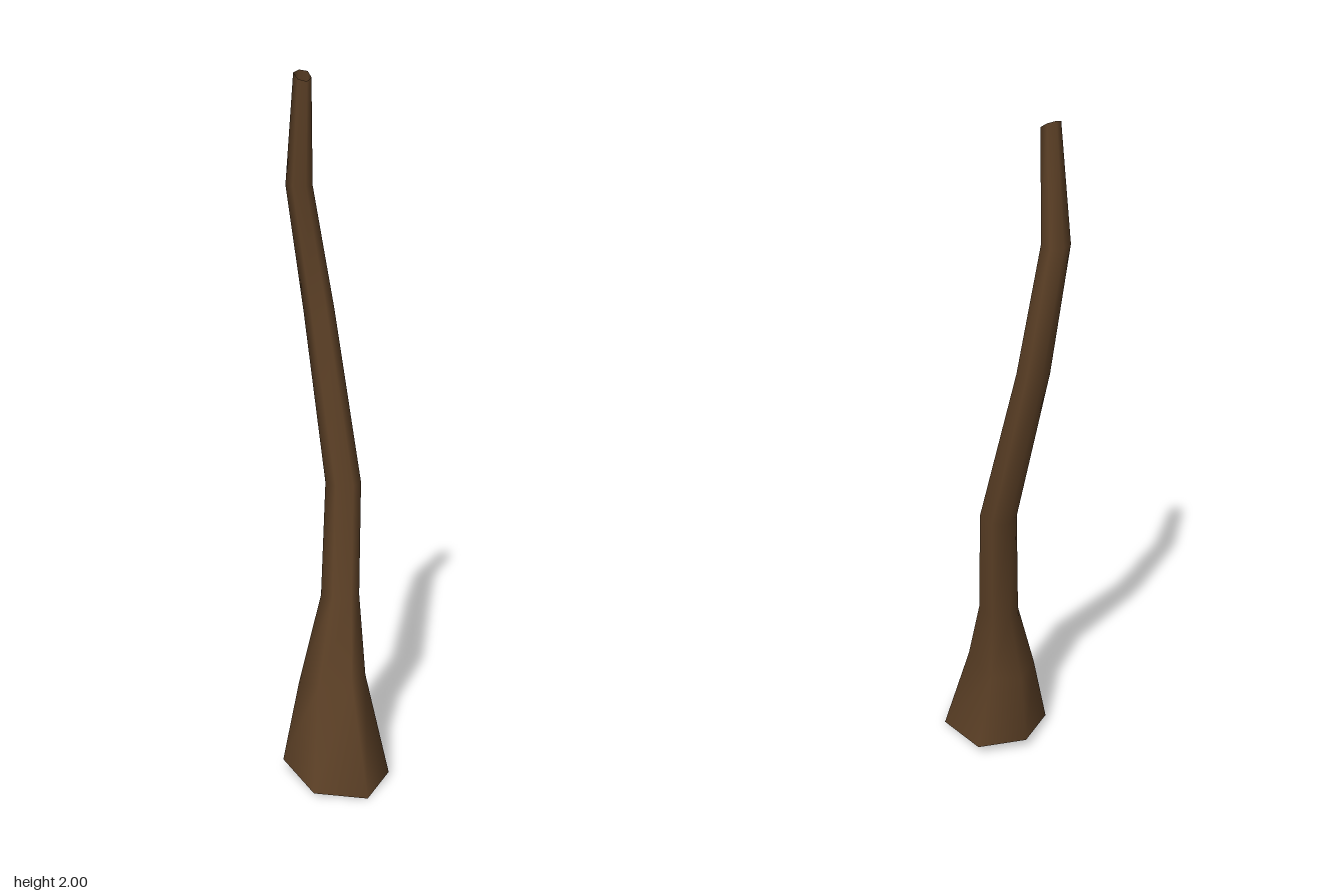
import * as THREE from 'three';

export function createModel() {
  const group = new THREE.Group();
  const bark = new THREE.MeshStandardMaterial({ color: 0x5c4026, side: THREE.DoubleSide });
  bark.name = 'dark bark';

  // Irregular six-sided outline, in half widths, counterclockwise from the front
  const outline = [[0.2, 1], [1, 0.37], [0.93, -0.7], [-0.08, -1], [-1, -0.52], [-0.81, 0.6]];

  // Rings up the bent trunk: centre x, y, z, half width x, half depth z, tilt along x, tilt along z
  const rings = [
    [0.0, 0.018, 0.087, 0.136, 0.173, 0, -0.1],
    [0.005, 0.28, 0.037, 0.085, 0.108, 0.1, 0.22],
    [0.053, 0.51, -0.029, 0.049, 0.062, 0, 0.15],
    [0.076, 0.84, -0.067, 0.046, 0.053, 0, 0.1],
    [0.051, 1.325, -0.203, 0.041, 0.04, 0, 0.1],
    [0.0, 1.68, -0.225, 0.035, 0.036, 0, 0],
    [0.002, 1.985, -0.2, 0.023, 0.024, 0, -0.6],
  ];

  const positions = [];
  const index = [];
  const n = outline.length;
  rings.forEach(([cx, cy, cz, hx, hz, tx, tz], i) => {
    outline.forEach(([u, v], j) => {
      const dx = u * hx, dz = v * hz;
      positions.push(cx + dx, cy + tx * dx + tz * dz, cz + dz);
      if (i === 0) return;
      // Wall between this ring and the one below
      const k = (j + 1) % n, lo = (i - 1) * n, hi = i * n;
      index.push(lo + j, lo + k, hi + k, lo + j, hi + k, hi + j);
    });
  });

  // Open, smooth-shaded trunk
  const geometry = new THREE.BufferGeometry();
  geometry.setAttribute('position', new THREE.Float32BufferAttribute(positions, 3));
  geometry.setIndex(index);
  geometry.computeVertexNormals();
  const trunk = new THREE.Mesh(geometry, bark);
  trunk.name = 'trunk';
  group.add(trunk);
  return group;
}
